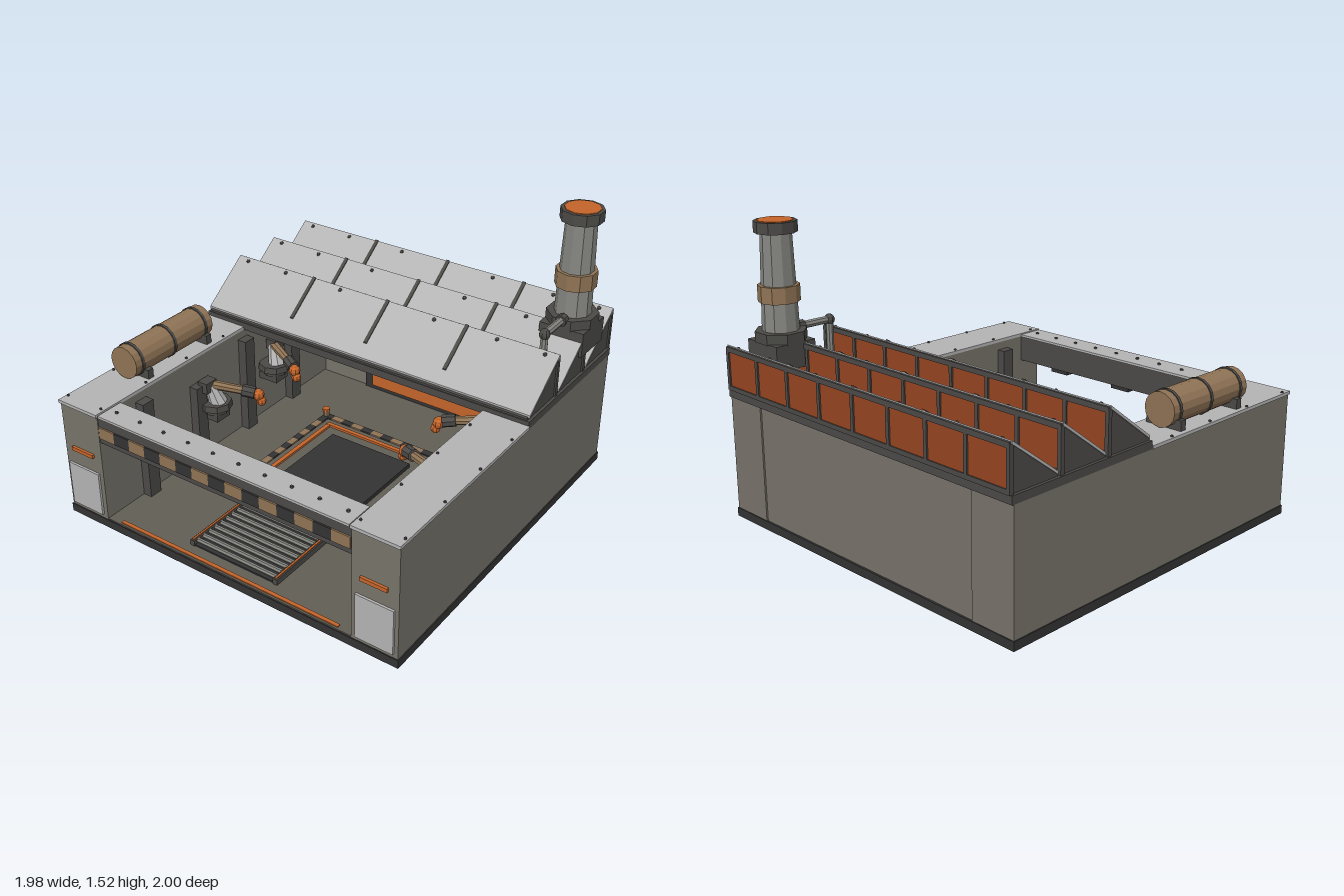
import * as THREE from 'three';

const mat = (color) => new THREE.MeshStandardMaterial({ color, flatShading: true });
const M = {
  wall: mat(0x77736a), floor: mat(0x625e56), dark: mat(0x4b4a47), black: mat(0x333333),
  steel: mat(0x858580), light: mat(0xb4b4b4), tan: mat(0x8f7355), orange: mat(0xc4642a), glass: mat(0x944420),
};

export function createModel() {
  const model = new THREE.Group();
  model.name = 'workshop';

  const add = (name, geo, m, parent = model) => {
    const mesh = new THREE.Mesh(geo, M[m]);
    mesh.name = name;
    parent.add(mesh);
    return mesh;
  };
  const group = (name) => {
    const g = new THREE.Group();
    g.name = name;
    model.add(g);
    return g;
  };
  // Box given by its limits on each axis
  const box = (name, m, x0, x1, y0, y1, z0, z1, parent) => {
    const mesh = add(name, new THREE.BoxGeometry(x1 - x0, y1 - y0, z1 - z0), m, parent);
    mesh.position.set((x0 + x1) / 2, (y0 + y1) / 2, (z0 + z1) / 2);
    return mesh;
  };
  // The same box on the left and right
  const pair = (name, m, x0, x1, ...rest) => {
    box(name, m, x0, x1, ...rest);
    box(name, m, -x1, -x0, ...rest);
  };
  // Cylinder between two points
  const rod = (name, m, a, b, r0, r1 = r0, sides = 8, parent = model) => {
    const p = new THREE.Vector3(...a), q = new THREE.Vector3(...b);
    const mesh = add(name, new THREE.CylinderGeometry(r1, r0, p.distanceTo(q), sides), m, parent);
    mesh.position.copy(p).add(q).multiplyScalar(0.5);
    mesh.quaternion.setFromUnitVectors(new THREE.Vector3(0, 1, 0), q.sub(p).normalize());
    return mesh;
  };
  const ball = (name, m, x, y, z, r, parent) => {
    const mesh = add(name, new THREE.SphereGeometry(r, 8, 6), m, parent);
    mesh.position.set(x, y, z);
  };
  const rivet = (x, y, z, r = 0.011) => rod('rivet', 'dark', [x, y - 0.005, z], [x, y + 0.008, z], r, r * 0.7, 6);
  // Profile of [z, y] points extruded along x
  const prism = (name, m, pts, x0, x1, parent) => {
    const shape = new THREE.Shape(pts.map(([z, y]) => new THREE.Vector2(-z, y)));
    const geo = new THREE.ExtrudeGeometry(shape, { depth: x1 - x0, bevelEnabled: false });
    add(name, geo.rotateY(Math.PI / 2).translate(x0, 0, 0), m, parent);
  };

  // Base and walls
  box('basePlate', 'black', -0.99, 0.99, 0, 0.045, -0.99, 0.99);
  box('floor', 'floor', -0.74, 0.74, 0.04, 0.052, -0.9, 0.985);
  box('thresholdStrip', 'orange', -0.66, 0.66, 0.05, 0.057, 0.955, 0.975);
  pair('sideWall', 'wall', 0.74, 0.985, 0.045, 0.645, -0.985, 0.985);
  pair('wallCap', 'light', 0.737, 0.99, 0.645, 0.662, -0.11, 0.995);
  box('backWall', 'wall', -0.735, 0.735, 0.045, 0.645, -0.98, -0.85);
  for (const z of [0.04, 0.33, 0.63, 0.94]) for (const x of [-0.977, -0.755, 0.755, 0.977]) rivet(x, 0.662, z, 0.008);

  // Front columns
  pair('columnPanel', 'light', 0.765, 0.965, 0.07, 0.31, 0.98, 0.997);
  pair('columnStrip', 'orange', 0.79, 0.93, 0.395, 0.415, 0.98, 0.999);

  // Lintel with warning stripes and lamps
  box('lintel', 'dark', -0.74, 0.74, 0.5, 0.645, 0.845, 0.98);
  box('lintelCap', 'light', -0.73, 0.73, 0.645, 0.658, 0.835, 0.99);
  const n = 15, w = 1.47 / n;
  for (let i = 0; i < n; i++) {
    const x = -0.735 + i * w;
    box('warningStripe', i % 2 ? 'black' : 'tan', x, x + w, 0.53, 0.592, 0.975, 0.988);
  }
  for (let i = 0; i < 10; i++) rivet(-0.675 + i * 0.15, 0.658, 0.915);
  for (const x of [-0.45, 0, 0.45]) box('lamp', 'black', x - 0.06, x + 0.06, 0.475, 0.5, 0.86, 0.93);

  // Inner wall pillars
  for (const z of [0.69, 0.3, -0.1, -0.5]) pair('pillar', 'dark', 0.69, 0.742, 0.05, z === 0.3 ? 0.5 : 0.6, z - 0.037, z + 0.037);

  // Display on the back wall
  box('backPanel', 'black', -0.43, 0.43, 0.05, 0.47, -0.855, -0.835);
  for (let i = 0; i < 4; i++) box('screen', 'dark', -0.41 + i * 0.21, -0.22 + i * 0.21, 0.19, 0.405, -0.84, -0.828);
  box('consoleStrip', 'orange', -0.37, 0.37, 0.085, 0.16, -0.84, -0.815);

  // Work platform: striped rim, orange frame, dark centre
  const cz = -0.03;
  box('platform', 'floor', -0.425, 0.425, 0.05, 0.062, cz - 0.4, cz + 0.4);
  box('platformCentre', 'black', -0.25, 0.25, 0.06, 0.085, cz - 0.22, cz + 0.22);
  for (const s of [-1, 1]) {
    for (let i = 0; i < 13; i++) {
      const t = -0.425 + i * 0.85 / 13, u = cz - 0.36 + i * 0.72 / 13;
      box('rimStripe', i % 2 ? 'tan' : 'black', t, t + 0.85 / 13, 0.055, 0.07, cz + s * 0.38 - 0.02, cz + s * 0.38 + 0.02);
      box('rimStripe', i % 2 ? 'tan' : 'black', s * 0.405 - 0.02, s * 0.405 + 0.02, 0.055, 0.07, u, u + 0.72 / 13);
    }
    box('platformFrame', 'orange', -0.35, 0.35, 0.055, 0.075, cz + s * 0.31 - 0.012, cz + s * 0.31 + 0.012);
    box('platformFrame', 'orange', s * 0.338 - 0.012, s * 0.338 + 0.012, 0.055, 0.074, cz - 0.3, cz + 0.3);
    for (const x of [-0.41, 0.41]) {
      rod('cornerPost', 'tan', [x, 0.05, cz + s * 0.38], [x, 0.1, cz + s * 0.38], 0.018);
      rod('cornerLight', 'orange', [x, 0.1, cz + s * 0.38], [x, 0.115, cz + s * 0.38], 0.021);
    }
  }

  // Entry grate
  box('gratePan', 'black', -0.255, 0.255, 0.05, 0.06, 0.42, 0.9);
  pair('grateRail', 'dark', 0.24, 0.265, 0.05, 0.082, 0.415, 0.905);
  pair('grateEdge', 'orange', 0.248, 0.258, 0.08, 0.088, 0.42, 0.9);
  for (let i = 0; i < 11; i++) {
    const z = 0.445 + i * 0.043;
    rod('grateBar', 'steel', [-0.24, 0.072, z], [0.24, 0.072, z], 0.012, 0.012, 6);
  }

  // Four wall-mounted robot arms reaching over the platform
  for (const s of [-1, 1]) for (const d of [-1, 1]) {
    const arm = group('robotArm');
    const z = (k) => cz + d * k; // distance from the platform centre line
    const zb = z(0.25);
    box('armBracket', 'dark', s * 0.68 - 0.06, s * 0.68 + 0.06, 0.29, 0.33, zb - 0.05, zb + 0.05, arm);
    rod('armBase', 'dark', [s * 0.67, 0.33, zb], [s * 0.67, 0.355, zb], 0.07, 0.07, 8, arm);
    rod('turntable', 'dark', [s * 0.67, 0.355, zb], [s * 0.67, 0.39, zb], 0.09, 0.085, 8, arm);
    rod('upperArm', 'light', [s * 0.65, 0.38, zb], [s * 0.685, 0.49, z(0.27)], 0.05, 0.03, 8, arm);
    box('shoulder', 'dark', s * 0.69 - 0.03, s * 0.69 + 0.03, 0.46, 0.52, z(0.285) - 0.04, z(0.285) + 0.04, arm);
    rod('forearm', 'tan', [s * 0.68, 0.49, z(0.265)], [s * 0.49, 0.465, z(0.175)], 0.026, 0.022, 8, arm);
    rod('wrist', 'dark', [s * 0.53, 0.472, z(0.195)], [s * 0.47, 0.46, z(0.165)], 0.033, 0.033, 8, arm);
    ball('wristJoint', 'orange', s * 0.455, 0.45, z(0.155), 0.032, arm);
    rod('tool', 'orange', [s * 0.455, 0.45, z(0.155)], [s * 0.44, 0.41, z(0.15)], 0.025, 0.018, 8, arm);
    ball('toolTip', 'orange', s * 0.44, 0.415, z(0.15), 0.026, arm);
  }

  // Sawtooth roof: sloped front plates, glazed back faces
  box('roofDeck', 'dark', -0.985, 0.985, 0.645, 0.685, -0.995, -0.11);
  for (let k = 0; k < 3; k++) {
    const tooth = group('roofTooth');
    const z0 = -0.115 - k * 0.298, z1 = z0 - 0.28;
    const at = (t, h) => [z0 + (z1 - z0) * t, 0.695 + 0.21 * t + h];
    prism('gable', 'dark', [[z0, 0.68], at(0, 0), at(1, 0), [z1, 0.68]], -0.97, 0.97, tooth);
    prism('roofPlate', 'light', [at(0.03, -0.005), at(0.03, 0.01), at(1, 0.01), at(1, -0.005)], -0.98, 0.98, tooth);
    for (const x of [-0.47, 0, 0.47]) {
      prism('roofSeam', 'dark', [at(0.26, 0.005), at(0.26, 0.016), at(1, 0.016), at(1, 0.005)], x - 0.01, x + 0.01, tooth);
    }
    for (const x of [-0.91, -0.65, -0.29, 0.29, 0.65, 0.91]) {
      const [z, y] = at(0.94, 0.008);
      ball('roofRivet', 'dark', x, y, z, 0.011, tooth);
    }
    for (let i = 0; i < 8; i++) {
      const x = -0.968 + i * 0.242;
      box('windowPane', 'glass', x + 0.012, x + 0.23, 0.705, 0.885, z1 - 0.006, z1 + 0.01, tooth);
    }
    for (let i = 0; i < 9; i++) {
      const x = -0.968 + i * 0.242;
      box('mullion', 'dark', x - 0.01, x + 0.01, 0.685, 0.9, z1 - 0.012, z1 + 0.01, tooth);
    }
    box('windowSill', 'dark', -0.975, 0.975, 0.685, 0.708, z1 - 0.012, z1 + 0.01, tooth);
    box('windowHead', 'dark', -0.975, 0.975, 0.882, 0.908, z1 - 0.012, z1 + 0.005, tooth);
  }

  // Chimney with side pipe
  const chimney = group('chimney'), cx = 0.865, sz = -0.75;
  const ring = (name, m, y0, y1, r0, r1, sides) => rod(name, m, [cx, y0, sz], [cx, y1, sz], r0, r1, sides, chimney);
  box('chimneyBase', 'dark', cx - 0.12, cx + 0.12, 0.79, 0.92, sz - 0.117, sz + 0.117, chimney);
  ring('chimneyFlange', 'dark', 0.915, 0.97, 0.132, 0.132, 8).rotation.y = Math.PI / 8;
  ring('stack', 'steel', 0.96, 1.47, 0.094, 0.078, 10);
  ring('stackBand', 'tan', 1.115, 1.2, 0.105, 0.105, 10);
  ring('stackCap', 'dark', 1.46, 1.517, 0.108, 0.108, 10);
  ring('stackMouth', 'orange', 1.51, 1.521, 0.09, 0.09, 10);
  rod('pipe', 'steel', [cx, 0.965, -0.64], [cx, 0.965, -0.45], 0.02, 0.02, 8, chimney);
  rod('pipe', 'steel', [cx, 0.965, -0.45], [cx, 0.69, -0.45], 0.02, 0.02, 8, chimney);
  rod('pipeCollar', 'dark', [cx, 0.965, -0.65], [cx, 0.965, -0.615], 0.03, 0.03, 8, chimney);
  ball('pipeElbow', 'dark', cx, 0.965, -0.45, 0.029, chimney);

  // Tank lying on the right wall
  const tank = group('tank'), tx = -0.865, ty = 0.752;
  rod('tankBody', 'tan', [tx, ty, 0.09], [tx, ty, 0.66], 0.086, 0.086, 16, tank);
  for (const z of [0.14, 0.375, 0.61]) rod('tankBand', 'dark', [tx, ty, z - 0.008], [tx, ty, z + 0.008], 0.091, 0.091, 16, tank);
  for (const z of [0.14, 0.58]) box('tankSaddle', 'dark', tx - 0.1, tx + 0.1, 0.66, 0.712, z - 0.018, z + 0.018, tank);

  return model;
}
